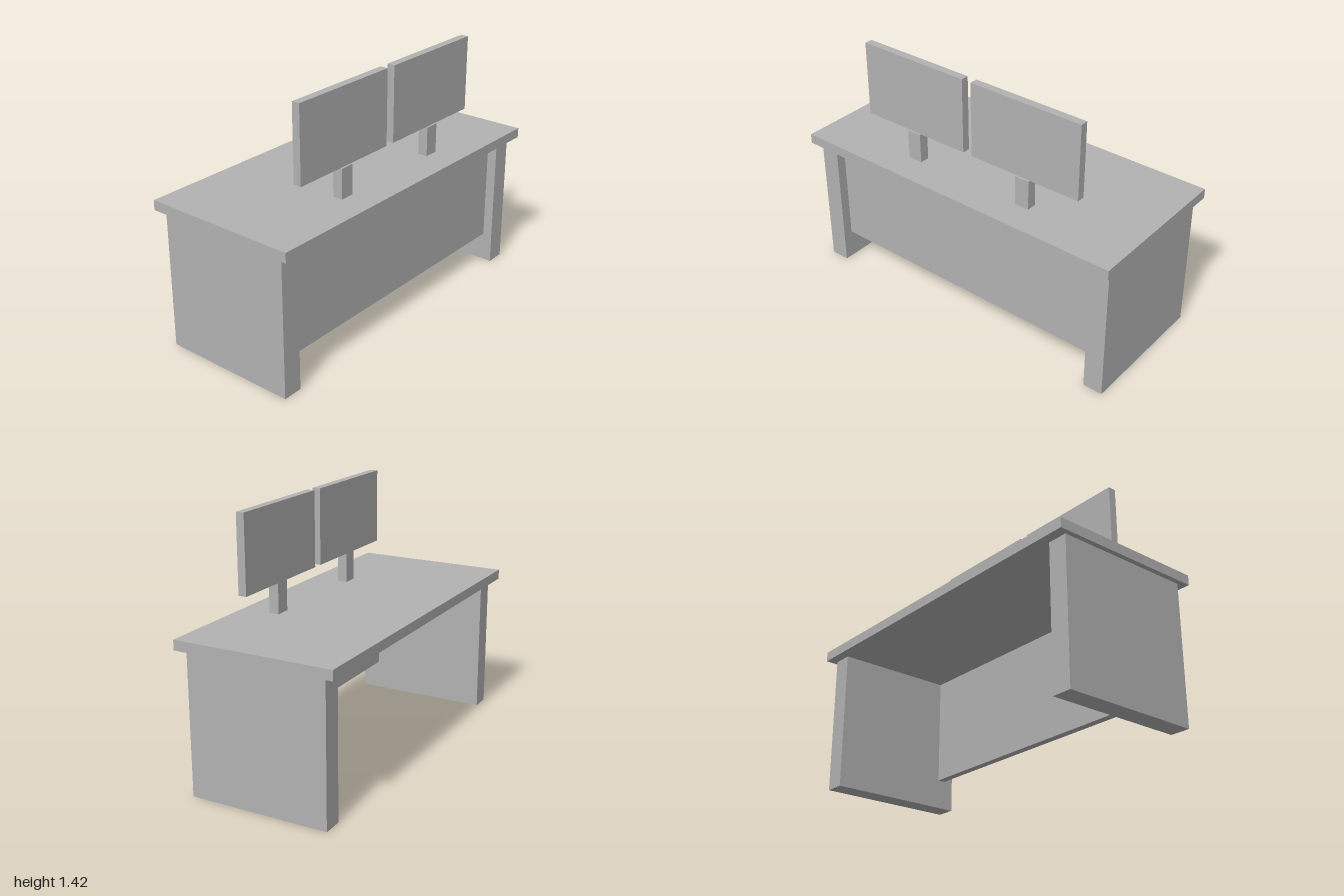
import * as THREE from 'three';

export function createModel() {
  const group = new THREE.Group();
  const grey = new THREE.MeshStandardMaterial({ color: 0xb2b2b2 });
  grey.name = 'plain grey';

  // Box given by its extents along each axis
  function slab(name, [x0, x1], [y0, y1], [z0, z1]) {
    const mesh = new THREE.Mesh(new THREE.BoxGeometry(x1 - x0, y1 - y0, z1 - z0), grey);
    mesh.position.set((x0 + x1) / 2, (y0 + y1) / 2, (z0 + z1) / 2);
    mesh.name = name;
    group.add(mesh);
  }

  // Desk
  slab('desktop', [-1, 1], [0.778, 0.833], [-0.444, 0.444]);
  slab('modestyPanel', [-0.861, 0.861], [0.167, 0.778], [0.289, 0.333]);

  // Mirrored pairs: side legs, monitor stands and screens
  for (const [side, s] of [['left', 1], ['right', -1]]) {
    const span = (a, b) => (s > 0 ? [a, b] : [-b, -a]);
    slab(side + 'Leg', span(0.861, 0.972), [0, 0.778], [-0.389, 0.389]);
    slab(side + 'MonitorStand', span(0.319, 0.403), [0.833, 1], [0.222, 0.278]);
    slab(side + 'Monitor', span(0.028, 0.694), [1, 1.422], [0.222, 0.267]);
  }
  return group;
}
